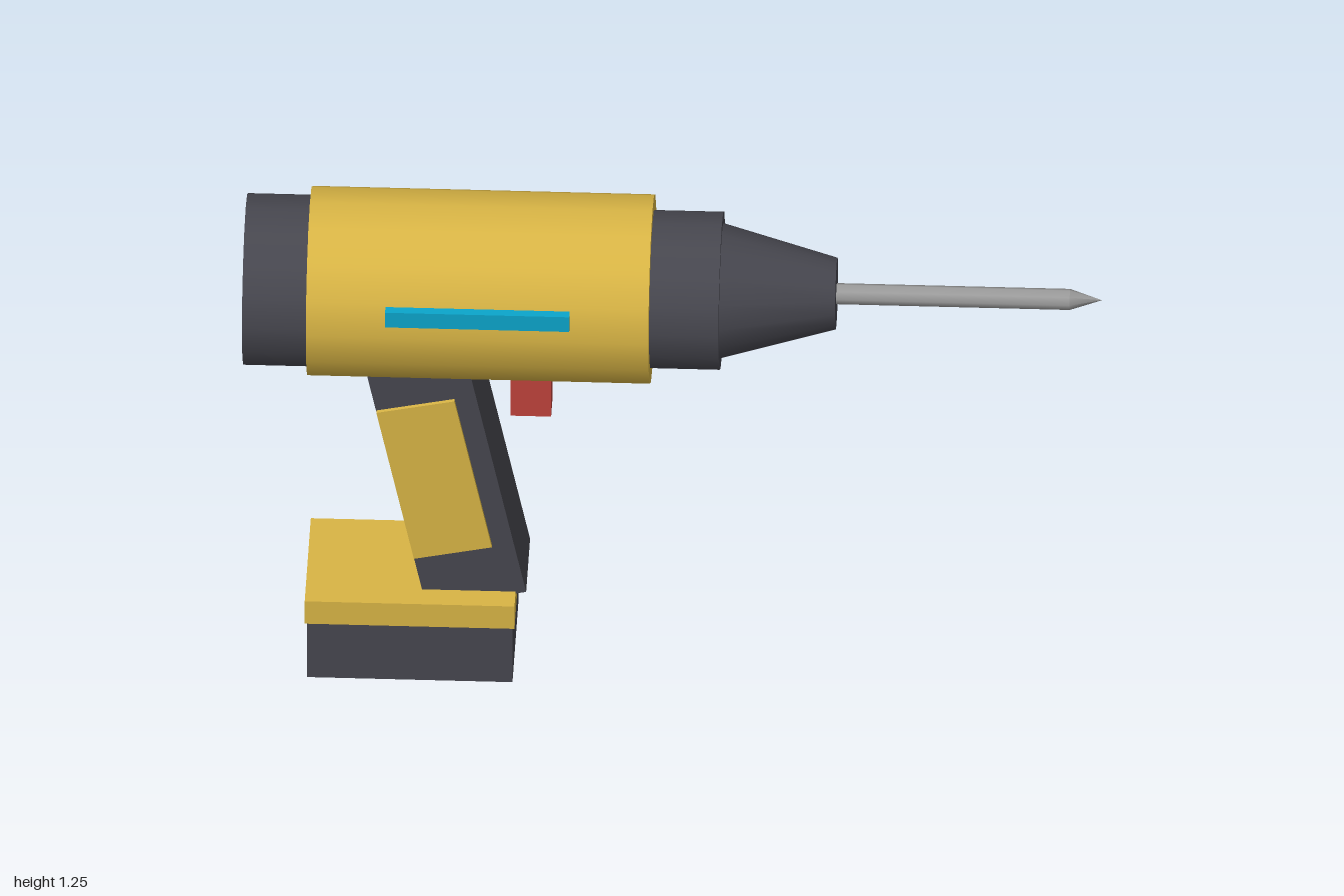
import * as THREE from 'three';

const material = (name, color) => {
  const m = new THREE.MeshStandardMaterial({ color });
  m.name = name;
  return m;
};

export function createModel() {
  const yellow = material('yellow', 0xd9b545);
  const dark = material('charcoal', 0x47474f);
  const red = material('red', 0xbf433c);
  const blue = material('blue', 0x0ba5cb);
  const steel = material('steel', 0x9c9c9c);

  const model = new THREE.Group();
  model.name = 'powerDrill';
  const AXIS_Y = 1.023;

  function add(name, geometry, mat, x, y, z, tilt = 0) {
    const mesh = new THREE.Mesh(geometry, mat);
    mesh.name = name;
    mesh.position.set(x, y, z);
    mesh.rotation.z = tilt;
    model.add(mesh);
  }

  // Round part along the drill axis, from x0 (radius r0) to x1 (radius r1)
  function barrel(name, mat, x0, x1, r0, r1, sides = 16) {
    const g = new THREE.CylinderGeometry(r1, r0, x1 - x0, sides).rotateZ(-Math.PI / 2);
    add(name, g, mat, (x0 + x1) / 2, AXIS_Y, 0);
  }

  // Upright block given by its limits
  function block(name, mat, x0, x1, y0, y1, z0, z1) {
    const g = new THREE.BoxGeometry(x1 - x0, y1 - y0, z1 - z0);
    add(name, g, mat, (x0 + x1) / 2, (y0 + y1) / 2, (z0 + z1) / 2);
  }

  // Motor housing, chuck and bit
  barrel('rearCap', dark, -1, -0.85, 0.203, 0.203);
  barrel('motorHousing', yellow, -0.85, -0.05, 0.224, 0.224);
  barrel('collar', dark, -0.05, 0.112, 0.187, 0.187);
  barrel('chuck', dark, 0.112, 0.38, 0.16, 0.085);
  barrel('bitShaft', steel, 0.38, 0.925, 0.025, 0.025, 8);
  barrel('bitTip', steel, 0.925, 1, 0.025, 0, 8);

  // Tilted handle, its ends buried in the housing and the base
  const tilt = 0.208;
  add('handle', new THREE.BoxGeometry(0.238, 0.68, 0.214), dark, -0.527, 0.53, 0, tilt);

  // Grip panels and side strips, mirrored front to back
  for (const s of [1, -1]) {
    add('gripPanel', new THREE.BoxGeometry(0.186, 0.425, 0.02), yellow, -0.555, 0.543, s * 0.107, tilt);
    block('sideStrip', blue, -0.664, -0.234, 1.068, 1.11, s * 0.232 - 0.0115, s * 0.232 + 0.0115);
  }

  block('trigger', red, -0.38, -0.285, 0.677, 0.85, -0.038, 0.038);

  // Battery foot
  block('batteryPlate', yellow, -0.855, -0.365, 0.158, 0.222, -0.167, 0.167);
  block('battery', dark, -0.85, -0.37, 0, 0.158, -0.16, 0.16);

  return model;
}
